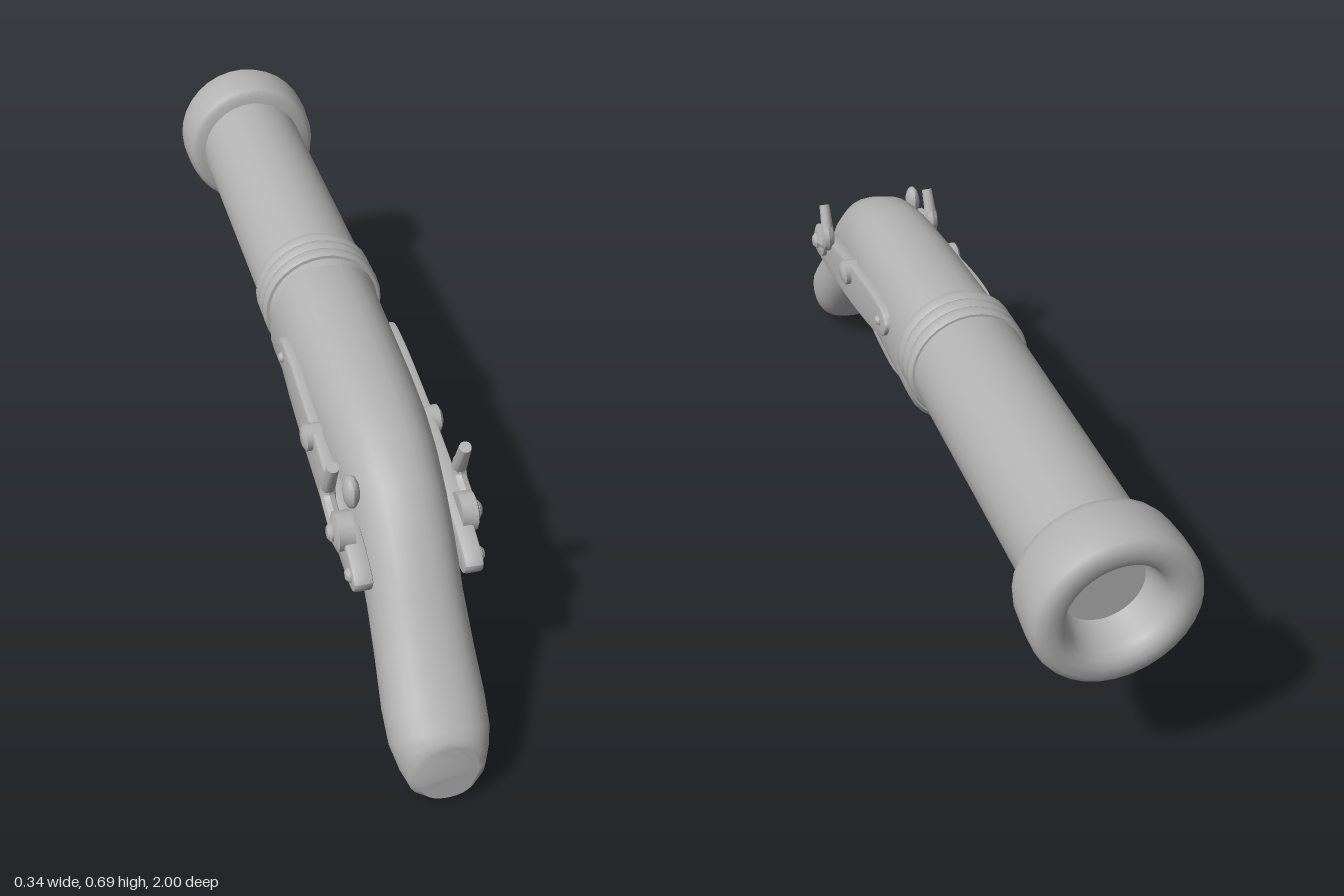
import * as THREE from 'three';
import { toCreasedNormals } from 'three/addons/utils/BufferGeometryUtils.js';

const AXIS_Y = 0.517; // height of the barrel axis

export function createModel() {
  const model = new THREE.Group();
  model.name = 'flintlockPistol';
  const grey = new THREE.MeshStandardMaterial({ color: 0xb2b2b2 });
  grey.name = 'plain grey';

  function add(name, geometry, crease = 0.7, parent = model) {
    const mesh = new THREE.Mesh(toCreasedNormals(geometry, crease), grey);
    mesh.name = name;
    parent.add(mesh);
    return mesh;
  }

  // Turned part along the barrel direction; profile is [radius, z] from rear to front
  function turned(name, y, profile, segments = 32) {
    const pts = profile.map(([r, z]) => new THREE.Vector2(r, -z));
    const g = new THREE.LatheGeometry(pts, segments).rotateX(-Math.PI / 2);
    return add(name, g.translate(0, y, 0));
  }

  // Side-on outline of [z, y] points, given a thickness centred on x
  function sidePlate(name, outline, x, thickness, bevel, parent) {
    const shape = new THREE.Shape();
    shape.setFromPoints(outline.map(([z, y]) => new THREE.Vector2(-z, y)));
    const depth = thickness - 2 * bevel;
    const g = new THREE.ExtrudeGeometry(shape, {
      depth, bevelThickness: bevel, bevelSize: bevel, bevelOffset: -bevel, bevelSegments: 2,
    });
    g.translate(0, 0, -depth / 2).rotateY(Math.PI / 2).translate(x, 0, 0);
    return add(name, g, 0.6, parent);
  }

  const smooth = (pts, n, closed = false) => new THREE.CatmullRomCurve3(
    pts.map(([z, y]) => new THREE.Vector3(0, y, z)), closed, 'centripetal',
  ).getPoints(n).map((p) => [p.z, p.y]);

  // Rod between two points
  function rod(name, a, b, r0, r1, parent) {
    const p = new THREE.Vector3(...a), q = new THREE.Vector3(...b);
    const d = q.clone().sub(p);
    const g = new THREE.CylinderGeometry(r1, r0, d.length(), 12);
    g.applyQuaternion(new THREE.Quaternion().setFromUnitVectors(new THREE.Vector3(0, 1, 0), d.normalize()));
    g.translate(...p.add(q).multiplyScalar(0.5).toArray());
    return add(name, g, 0.7, parent);
  }

  // Stock: [top z, top y, bottom z, bottom y, half width] sections, barrel end to butt
  const sections = [
    [-0.045, 0.638, -0.08, 0.34, 0.122], [-0.03, 0.64, -0.06, 0.323, 0.126],
    [0.1, 0.634, 0.1, 0.322, 0.123], [0.3, 0.625, 0.3, 0.32, 0.118],
    [0.44, 0.613, 0.42, 0.32, 0.113], [0.55, 0.59, 0.5, 0.318, 0.106],
    [0.65, 0.54, 0.56, 0.308, 0.1], [0.73, 0.47, 0.62, 0.28, 0.097],
    [0.8, 0.38, 0.67, 0.24, 0.096], [0.88, 0.285, 0.74, 0.18, 0.099],
    [0.945, 0.22, 0.81, 0.105, 0.103], [0.98, 0.187, 0.87, 0.05, 0.101],
    [0.995, 0.172, 0.93, 0.014, 0.09], [1.0, 0.16, 0.975, 0.002, 0.078],
    [1.0, 0.158, 1.0, 0.018, 0.062],
  ];
  const N = 28, positions = [], index = [];
  sections.forEach(([tz, ty, bz, by, w]) => {
    for (let j = 0; j < N; j++) {
      const a = (j / N) * Math.PI * 2, c = Math.cos(a), s = Math.sin(a);
      const v = Math.sign(s) * Math.abs(s) ** 0.86;
      positions.push(w * Math.sign(c) * Math.abs(c) ** 0.86,
        (ty + by) / 2 + v * (ty - by) / 2, (tz + bz) / 2 + v * (tz - bz) / 2);
    }
  });
  for (let i = 0; i < sections.length - 1; i++) {
    for (let j = 0; j < N; j++) {
      const k = (j + 1) % N, a = i * N + j, b = i * N + k;
      index.push(a, b, a + N, b, b + N, a + N);
    }
  }
  const last = (sections.length - 1) * N;
  for (let j = 1; j < N - 1; j++) index.push(0, j + 1, j, last, last + j, last + j + 1);
  const stock = new THREE.BufferGeometry();
  stock.setAttribute('position', new THREE.Float32BufferAttribute(positions, 3));
  stock.setIndex(index);
  add('stock', stock, 0.8);

  // Barrel and its recessed muzzle collar
  turned('barrel', AXIS_Y, [[0, 0], [0.118, 0], [0.129, -0.05], [0.13, -0.88], [0, -0.88]]);
  turned('muzzle', AXIS_Y, [
    [0.12, -0.85], [0.15, -0.853], [0.163, -0.862], [0.168, -0.88], [0.172, -0.93], [0.172, -0.975],
    [0.166, -0.99], [0.152, -0.999], [0.13, -1], [0.113, -0.994], [0.103, -0.98], [0.098, -0.96],
    [0.09, -0.925], [0.085, -0.91], [0, -0.91],
  ]);

  // Three rounded bands where barrel and stock meet
  [-0.06, -0.095, -0.13].forEach((z) => turned('barrelBand', AXIS_Y, [
    [0.12, z + 0.019], [0.134, z + 0.017], [0.139, z + 0.008],
    [0.139, z - 0.008], [0.134, z - 0.017], [0.12, z - 0.019],
  ]));

  // Ramrod with its holder and flared tip
  turned('ramrodHolder', 0.325, [
    [0, -0.05], [0.04, -0.052], [0.052, -0.065], [0.054, -0.1], [0.05, -0.13], [0.04, -0.14], [0, -0.14],
  ], 20);
  add('holderNeck', new THREE.BoxGeometry(0.06, 0.06, 0.08).translate(0, 0.375, -0.095));
  turned('ramrod', 0.335, [
    [0, -0.12], [0.028, -0.12], [0.028, -0.76], [0.034, -0.785], [0.045, -0.792],
    [0.046, -0.815], [0.04, -0.82], [0.034, -0.812], [0, -0.812],
  ], 16);

  // Trigger guard and trigger
  const outer = smooth([[0.68, 0.275], [0.64, 0.226], [0.58, 0.192], [0.5, 0.18], [0.38, 0.18], [0.29, 0.208], [0.245, 0.26], [0.23, 0.335]], 24);
  const inner = smooth([[0.265, 0.335], [0.272, 0.275], [0.31, 0.232], [0.39, 0.208], [0.5, 0.208], [0.57, 0.221], [0.62, 0.25], [0.65, 0.3]], 24);
  sidePlate('triggerGuard', [...outer, ...inner], 0, 0.06, 0.007);
  const triggerPath = new THREE.CatmullRomCurve3([
    [0.47, 0.335], [0.486, 0.3], [0.485, 0.278], [0.468, 0.265], [0.45, 0.262],
  ].map(([z, y]) => new THREE.Vector3(0, y, z)));
  add('trigger', new THREE.TubeGeometry(triggerPath, 12, 0.012, 8));
  add('triggerTip', new THREE.SphereGeometry(0.013, 10, 8).translate(0, 0.262, 0.45));

  // Lock plate, screws and cock on both sides
  const plate = smooth([
    [0.76, 0.395], [0.745, 0.365], [0.69, 0.362], [0.55, 0.375], [0.35, 0.405], [0.17, 0.445], [0.09, 0.48],
    [0.07, 0.515], [0.09, 0.538], [0.16, 0.542], [0.3, 0.525], [0.5, 0.487], [0.7, 0.432],
  ], 48, true).slice(0, -1);
  for (const s of [1, -1]) {
    const lock = new THREE.Group();
    lock.name = s > 0 ? 'leftLock' : 'rightLock';
    model.add(lock);
    sidePlate('lockPlate', plate, s * 0.113, 0.04, 0.006, lock);
    const button = (name, z, y, r, x) => {
      rod(name, [s * 0.11, y, z], [s * (x - 0.007), y, z], r, r, lock);
      rod(name + 'Cap', [s * (x - 0.007), y, z], [s * x, y, z], r, r * 0.6, lock);
    };
    button('frontScrew', 0.12, 0.505, 0.012, 0.142);
    button('middleKnob', 0.39, 0.485, 0.03, 0.152);
    button('rearScrew', 0.725, 0.394, 0.016, 0.142);
    button('cockPivot', 0.645, 0.44, 0.042, 0.15);
    button('cockPivotScrew', 0.645, 0.44, 0.02, 0.16);
    const arm = new THREE.CatmullRomCurve3([[0.645, 0.44], [0.6, 0.455], [0.57, 0.467], [0.562, 0.49], [0.573, 0.515]]
      .map(([z, y]) => new THREE.Vector3(s * 0.138, y, z)));
    add('cockArm', new THREE.TubeGeometry(arm, 16, 0.016, 8), 0.7, lock);
    rod('cockPost', [s * 0.138, 0.49, 0.563], [s * 0.136, 0.565, 0.598], 0.016, 0.013, lock);
  }

  // Small rounded nut beside the right-hand cock
  const nut = new THREE.SphereGeometry(1, 12, 10).scale(0.017, 0.037, 0.028);
  add('cockNut', nut.translate(-0.107, 0.523, 0.63), 0.7);

  return model;
}
